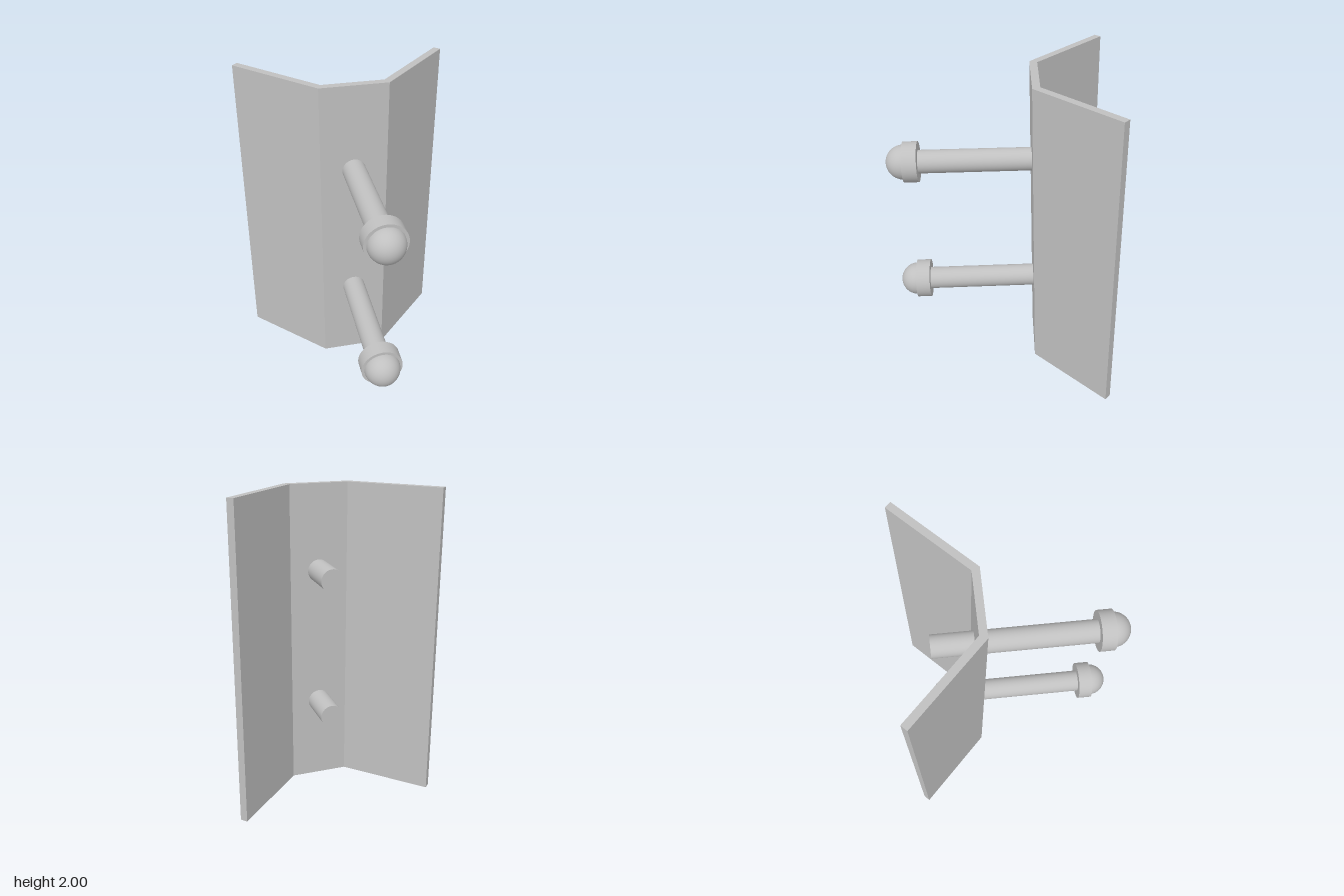
import * as THREE from 'three';

export function createModel() {
  const model = new THREE.Group();
  model.name = 'anglePlateWithPins';
  const gray = new THREE.MeshStandardMaterial({ color: 0xc0c0c0 });
  gray.name = 'plain gray';

  const add = (parent, name, geometry, y = 0) => {
    const mesh = new THREE.Mesh(geometry, gray);
    mesh.name = name;
    mesh.position.y = y;
    parent.add(mesh);
  };

  // Bent plate: floor outline as (x, -z), extruded upward
  const outline = [
    [-0.718, -0.2], [-0.091, -0.2], [0.2, 0.091], [0.2, 0.718],
    [0.154, 0.718], [0.154, 0.11], [-0.11, -0.154], [-0.718, -0.154],
  ].map(([x, y]) => new THREE.Vector2(x, y));
  const plate = new THREE.ExtrudeGeometry(new THREE.Shape(outline), { depth: 2, bevelEnabled: false });
  plate.rotateX(-Math.PI / 2);
  add(model, 'bentPlate', plate);

  // Pins run through the middle facet, along its outward diagonal
  const start = -0.23, collarStart = 0.768, collarEnd = 0.858;
  const up = new THREE.Vector3(0, 1, 0);
  const outward = new THREE.Vector3(1, 0, 1).normalize();
  for (const [name, height] of [['lowerPin', 0.553], ['upperPin', 1.453]]) {
    const pin = new THREE.Group();
    pin.name = name;
    pin.position.y = height;
    pin.quaternion.setFromUnitVectors(up, outward);

    const shaftLength = collarStart - start;
    const collarLength = collarEnd - collarStart;
    add(pin, 'shaft', new THREE.CylinderGeometry(0.072, 0.072, shaftLength, 48), start + shaftLength / 2);
    add(pin, 'collar', new THREE.CylinderGeometry(0.125, 0.125, collarLength, 48), collarStart + collarLength / 2);
    add(pin, 'domeTip', new THREE.SphereGeometry(0.107, 48, 16, 0, Math.PI * 2, 0, Math.PI / 2), collarEnd);
    model.add(pin);
  }
  return model;
}
